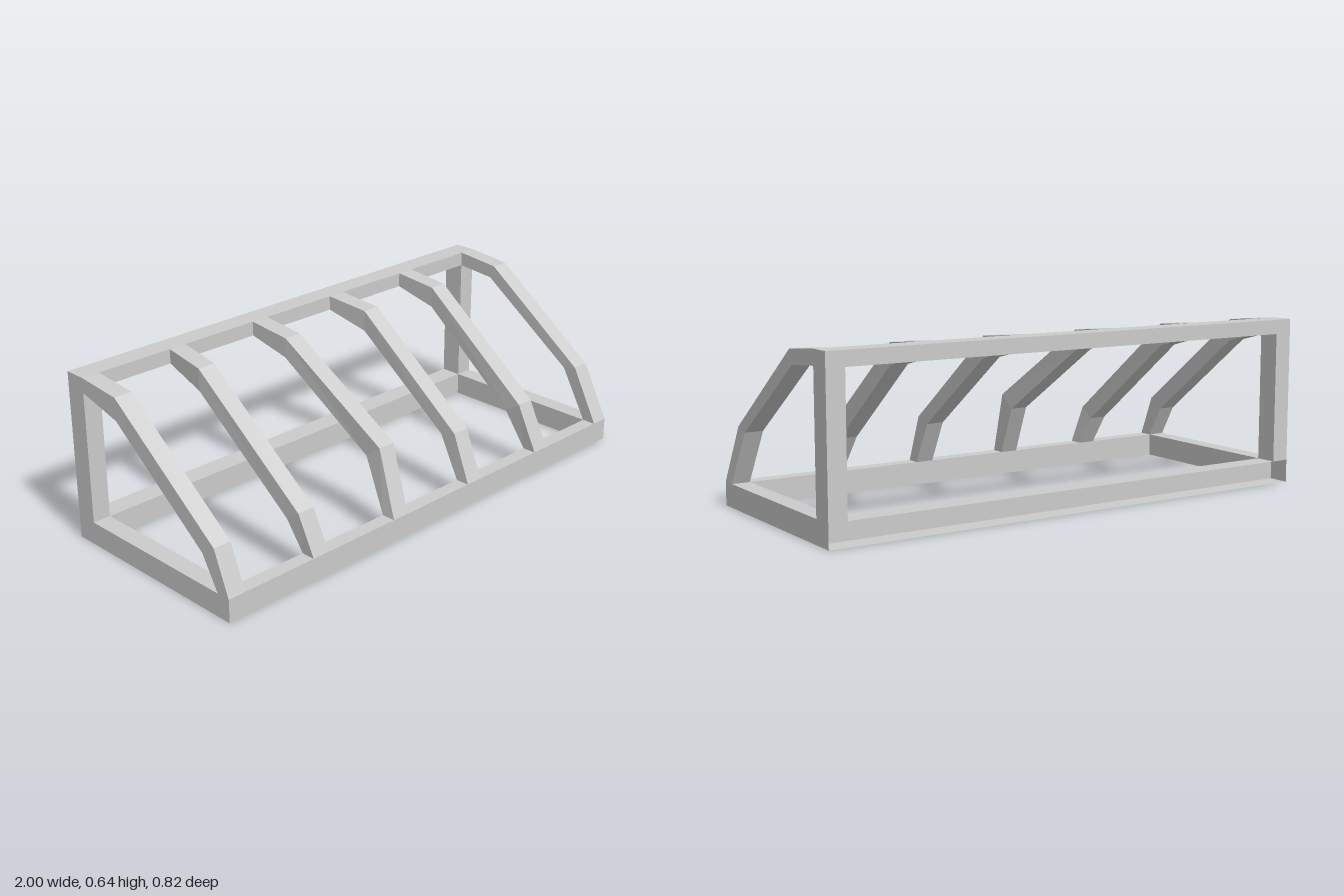
import * as THREE from 'three';

const BAR = 0.07;                      // width of posts, side beams and ribs
const FRONT = 0.41, FRONT_IN = 0.355;  // front rail depth range
const BACK = -0.41, BACK_IN = -0.325;  // back frame depth range
const RAIL_H = 0.088, TOP = 0.642, TOP_IN = 0.587;

const material = new THREE.MeshStandardMaterial({ color: 0xcccccc, flatShading: true, side: THREE.DoubleSide });

function add(group, name, geometry) {
  const mesh = new THREE.Mesh(geometry, material);
  mesh.name = name;
  group.add(mesh);
  return mesh;
}

// Box given by its ranges on each axis
function box(x0, x1, y0, y1, z0, z1) {
  return new THREE.BoxGeometry(x1 - x0, y1 - y0, z1 - z0)
    .translate((x0 + x1) / 2, (y0 + y1) / 2, (z0 + z1) / 2);
}

// Four-sided bar through stations { x, outer: [z, y], inner: [z, y] }
function ribGeometry(stations) {
  const rings = stations.map(({ x, outer, inner }) => [
    [x - BAR / 2, outer[1], outer[0]],
    [x + BAR / 2, outer[1], outer[0]],
    [x + BAR / 2, inner[1], inner[0]],
    [x - BAR / 2, inner[1], inner[0]],
  ]);
  const positions = [];
  for (let i = 0; i < rings.length - 1; i++) {
    for (let k = 0; k < 4; k++) {
      const n = (k + 1) % 4;
      const a = rings[i][k], b = rings[i][n], c = rings[i + 1][n], d = rings[i + 1][k];
      positions.push(...a, ...b, ...c, ...a, ...c, ...d);
    }
  }
  const geometry = new THREE.BufferGeometry();
  geometry.setAttribute('position', new THREE.Float32BufferAttribute(positions, 3));
  geometry.computeVertexNormals();
  return geometry;
}

export function createModel() {
  const model = new THREE.Group();
  model.name = 'ribbedFrame';

  // Long rails
  add(model, 'frontRail', box(-1, 1, 0, RAIL_H, FRONT_IN, FRONT));
  add(model, 'topRail', box(-1 + BAR, 1 - BAR, TOP_IN, TOP, BACK, BACK_IN));

  // Hollow back rail, open to the rear (the box's last face is dropped)
  const channel = box(-1, 1, 0, RAIL_H, BACK, BACK_IN);
  channel.setIndex(Array.from(channel.index.array).slice(0, 30));
  channel.clearGroups();
  add(model, 'backRail', channel);

  // Side beams and back posts
  for (const [side, x0] of [['right', -1], ['left', 1 - BAR]]) {
    add(model, side + 'SideBeam', box(x0, x0 + BAR, 0, RAIL_H, BACK_IN, FRONT_IN));
    add(model, side + 'BackPost', box(x0, x0 + BAR, RAIL_H, TOP, BACK, BACK_IN));
  }

  // Bent, slightly uneven ribs: x at base, knee, shoulder, top; then the knee and inner shoulder as [z, y]
  const ribs = [
    { x: [-0.965, -0.965, -0.965, -0.965], outer: [0.345, 0.25], inner: [0.285, 0.21], shoulder: [-0.145, 0.54] },
    { x: [-0.59, -0.6, -0.607, -0.59], outer: [0.348, 0.24], inner: [0.29, 0.2], shoulder: [-0.145, 0.54] },
    { x: [-0.2, -0.178, -0.2, -0.2], outer: [0.315, 0.33], inner: [0.25, 0.28], shoulder: [-0.15, 0.55] },
    { x: [0.195, 0.197, 0.206, 0.195], outer: [0.335, 0.27], inner: [0.27, 0.25], shoulder: [-0.145, 0.545] },
    { x: [0.585, 0.57, 0.585, 0.585], outer: [0.335, 0.27], inner: [0.27, 0.23], shoulder: [-0.145, 0.545] },
    { x: [0.965, 0.955, 0.963, 0.965], outer: [0.305, 0.305], inner: [0.25, 0.29], shoulder: [-0.163, 0.573] },
  ];
  ribs.forEach((rib, i) => {
    add(model, 'rib' + (i + 1), ribGeometry([
      { x: rib.x[0], outer: [FRONT, RAIL_H], inner: [FRONT_IN, RAIL_H] },
      { x: rib.x[1], outer: rib.outer, inner: rib.inner },
      { x: rib.x[2], outer: [-0.145, 0.625], inner: rib.shoulder },
      { x: rib.x[3], outer: [BACK_IN, TOP], inner: [BACK_IN, TOP_IN] },
    ]));
  });

  return model;
}
